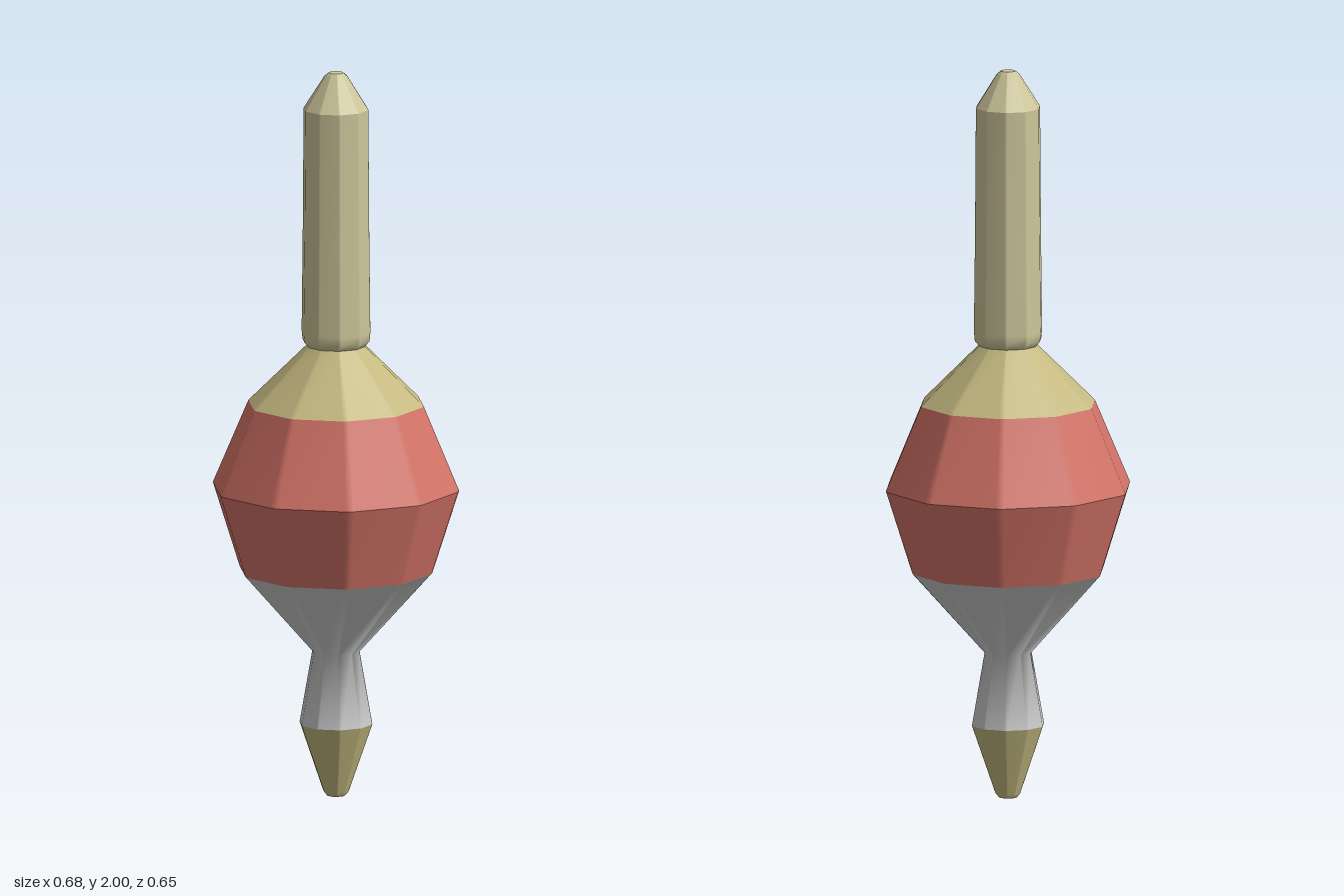
import * as THREE from 'three';

const SIDES = 10;
const BEVEL = THREE.MathUtils.degToRad(1.8); // half width of each softened corner

// Ten-sided shell with narrow bevelled corners, swept along a [radius, y] profile (bottom to top)
function shell(profile) {
  const pos = [], index = [], n = SIDES * 2;
  for (const [r, y] of profile) {
    for (let i = 0; i < SIDES; i++) {
      for (const s of [-1, 1]) {
        const a = (i / SIDES) * Math.PI * 2 + s * BEVEL;
        pos.push(r * Math.cos(a), y, -r * Math.sin(a));
      }
    }
  }
  for (let j = 0; j < profile.length - 1; j++) {
    for (let i = 0; i < n; i++) {
      const k = (i + 1) % n;
      const a = j * n + i, b = j * n + k, c = b + n, d = a + n;
      if (profile[j][0] > 0) index.push(a, b, c);
      if (profile[j + 1][0] > 0) index.push(a, c, d);
    }
  }
  const g = new THREE.BufferGeometry();
  g.setAttribute('position', new THREE.Float32BufferAttribute(pos, 3));
  g.setIndex(index);
  g.computeVertexNormals();
  return g;
}

export function createModel() {
  const model = new THREE.Group();
  const grey = new THREE.MeshStandardMaterial({ color: 0xcccccc });
  const red = new THREE.MeshStandardMaterial({ color: 0xd47468 });
  const straw = new THREE.MeshStandardMaterial({ color: 0xc4b980 });
  const pale = new THREE.MeshStandardMaterial({ color: 0xcdc69a });

  // Separate profiles meet at hard edges; points within one profile shade smoothly
  const part = (name, material, ...profiles) => {
    const group = new THREE.Group();
    group.name = name;
    for (const p of profiles) group.add(new THREE.Mesh(shell(p), material));
    model.add(group);
  };

  part('tip', straw,
    [[0, 0], [0.025, 0]],
    [[0.025, 0], [0.035, 0.012], [0.1, 0.2]]);
  part('lowerStem', grey,
    [[0.1, 0.2], [0.065, 0.4], [0.265, 0.625]]);
  part('body', red,
    [[0.265, 0.625], [0.3385, 0.855]],
    [[0.3385, 0.855], [0.241, 1.085]]);
  part('shoulder', straw,
    [[0.241, 1.085], [0.08, 1.245], [0.084, 1.255]]);
  part('handle', pale,
    [[0.08, 1.245], [0.092, 1.26], [0.0945, 1.285], [0.0915, 1.55], [0.089, 1.9]],
    [[0.089, 1.9], [0.032, 1.99], [0.02, 2]],
    [[0.02, 2], [0, 2]]);
  return model;
}
